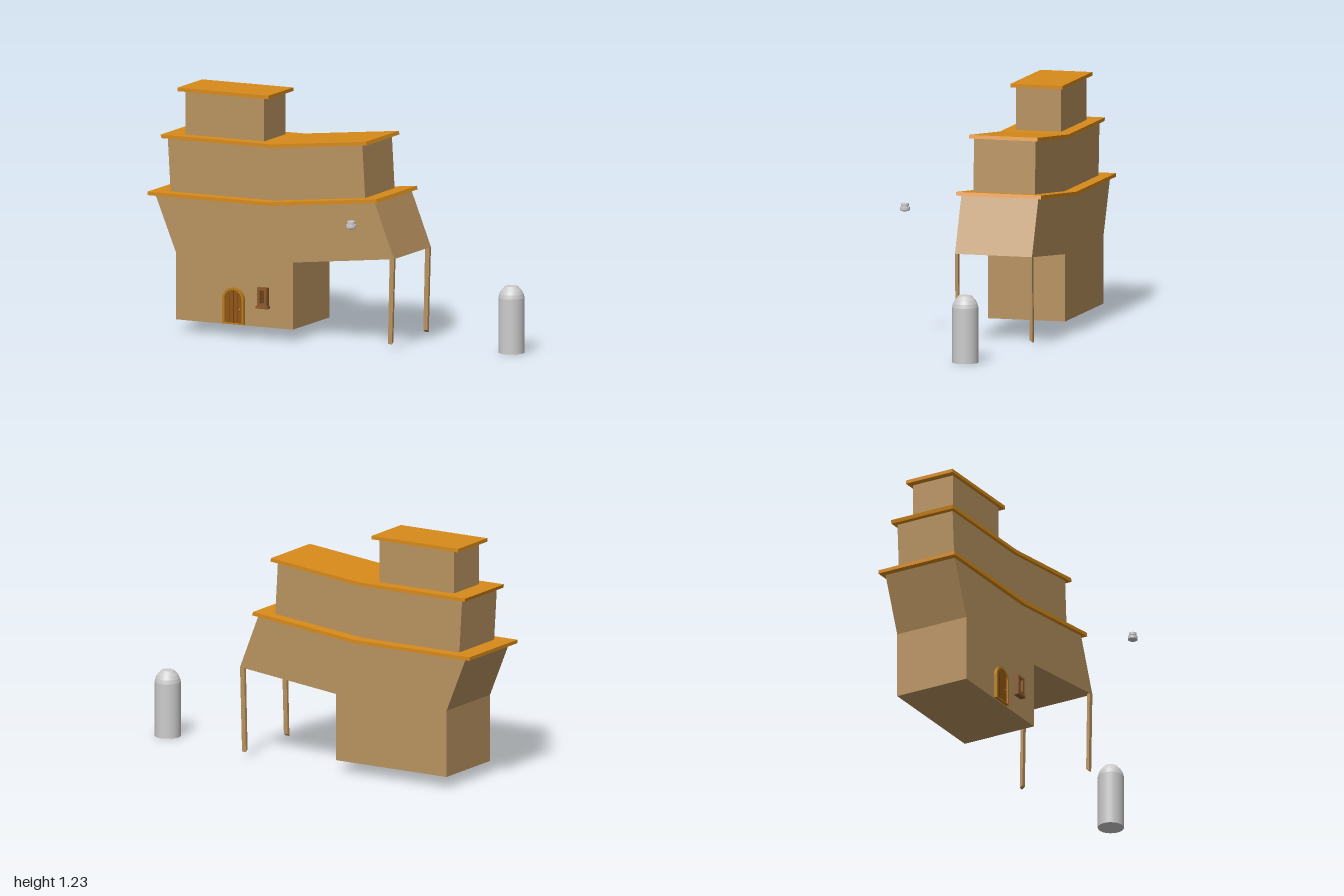
import * as THREE from 'three';

const mat = (color, flat = true) => new THREE.MeshStandardMaterial({ color, flatShading: flat });
const wall = mat(0xb8925f), roof = mat(0xd88a1a), wood = mat(0x8a5a2b), darkWood = mat(0x6b4012), doorWood = mat(0x8f560f);
const trim = mat(0xb87a1c), grey = mat(0xcccccc, false);

function add(group, name, geometry, material) {
  const mesh = new THREE.Mesh(geometry, material);
  mesh.name = name;
  group.add(mesh);
  return mesh;
}

const corners = (points) => points.map(([x, y]) => new THREE.Vector2(x, y));

// Extrudes an x-y shape between two depths
function extrude(shape, z0, z1) {
  return new THREE.ExtrudeGeometry(shape, { depth: z1 - z0, bevelEnabled: false, curveSegments: 16 }).translate(0, 0, z0);
}

const slab = (points, z0, z1) => extrude(new THREE.Shape(corners(points)), z0, z1);

function box(x0, x1, y0, y1, z0, z1) {
  return new THREE.BoxGeometry(x1 - x0, y1 - y0, z1 - z0).translate((x0 + x1) / 2, (y0 + y1) / 2, (z0 + z1) / 2);
}

// Round-topped outline: half width r, from y0 to the crown
function arch(cx, r, y0, top, Type = THREE.Shape) {
  const s = new Type();
  s.moveTo(cx - r, y0);
  s.lineTo(cx + r, y0);
  s.lineTo(cx + r, top - r);
  s.absarc(cx, top - r, r, 0, Math.PI, false);
  s.closePath();
  return s;
}

function createBuilding() {
  const g = new THREE.Group();
  g.name = 'building';

  // Walls of the three storeys
  add(g, 'lowerStorey', slab([[-0.85, 0.06], [-0.19, 0.06], [-0.19, 0.402], [0.382, 0.465], [0.27, 0.75],
    [-0.31, 0.69], [-0.967, 0.69], [-0.85, 0.402]], -0.35, 0.054), wall);
  add(g, 'middleStorey', slab([[-0.9, 0.695], [-0.31, 0.695], [0.198, 0.755], [0.182, 1.03],
    [-0.32, 0.98], [-0.917, 0.98]], -0.309, 0.014), wall);
  add(g, 'upperStorey', box(-0.84, -0.395, 0.98, 1.215, -0.265, -0.031), wall);

  // Overhanging roofs, the lower two bent upward
  add(g, 'lowerRoof', slab([[-1, 0.684], [-0.31, 0.684], [0.297, 0.748], [0.291, 0.766],
    [-0.315, 0.702], [-1, 0.702]], -0.371, 0.075), roof);
  add(g, 'middleRoof', slab([[-0.943, 0.972], [-0.315, 0.972], [0.216, 1.028], [0.211, 1.046],
    [-0.32, 0.99], [-0.948, 0.99]], -0.328, 0.032), roof);
  add(g, 'upperRoof', box(-0.876, -0.361, 1.21, 1.228, -0.284, -0.012), roof);

  // Slim posts with slanted feet
  for (const side of [1, -1]) {
    const post = slab([[0.347, 0.03], [0.37, 0.03], [0.382, 0.465], [0.357, 0.462]], -0.008, 0.008);
    const p = post.attributes.position;
    for (let i = 0; i < p.count; i++) {
      if (p.getY(i) < 0.1 && p.getZ(i) * side < 0) p.setY(i, 0.042);
    }
    post.computeVertexNormals();
    add(g, side > 0 ? 'frontPost' : 'backPost', post, wall).position.z = -0.148 + side * 0.194;
  }
  return g;
}

function createDoor() {
  const g = new THREE.Group();
  g.name = 'door';
  const frame = arch(-0.52, 0.06, 0.064, 0.25);
  frame.holes.push(arch(-0.52, 0.048, 0.07, 0.238, THREE.Path));
  add(g, 'doorFrame', extrude(frame, 0.05, 0.071), trim);
  add(g, 'doorPanel', extrude(arch(-0.52, 0.05, 0.066, 0.24), 0.05, 0.062), doorWood);
  // Gaps between planks
  for (const dx of [-0.024, 0, 0.024]) {
    add(g, 'plankGap', box(-0.521 + dx, -0.519 + dx, 0.07, dx ? 0.22 : 0.235, 0.06, 0.063), darkWood);
  }
  add(g, 'doorKnob', new THREE.SphereGeometry(0.005, 10, 8).translate(-0.484, 0.14, 0.064), trim);
  return g;
}

function createWindow() {
  const g = new THREE.Group();
  g.name = 'window';
  const frame = new THREE.Shape(corners([[-0.38, 0.168], [-0.325, 0.168], [-0.325, 0.264], [-0.38, 0.264]]));
  frame.holes.push(new THREE.Path(corners([[-0.366, 0.182], [-0.366, 0.25], [-0.339, 0.25], [-0.339, 0.182]])));
  add(g, 'windowFrame', extrude(frame, 0.05, 0.079), wood);
  add(g, 'windowPane', box(-0.37, -0.335, 0.18, 0.252, 0.05, 0.066), darkWood);
  add(g, 'windowSill', box(-0.386, -0.319, 0.157, 0.17, 0.05, 0.083), wood);
  return g;
}

// Turned solid; doubled profile points keep the edges crisp
function turned(profile) {
  const points = profile.flatMap((p, i) => (i > 0 && i < profile.length - 1 ? [p, p] : [p]));
  return new THREE.LatheGeometry(corners(points), 32);
}

export function createModel() {
  const model = new THREE.Group();
  model.name = 'towerHouse';
  model.add(createBuilding(), createDoor(), createWindow());

  // Free-standing domed pillar
  add(model, 'pillar', turned([[0, 0], [0.066, 0], [0.066, 0.28], [0.061, 0.3], [0.052, 0.317],
    [0.032, 0.339], [0, 0.341]]), grey).position.set(0.931, 0, -0.167);

  // Small stepped knob floating before the house
  add(model, 'knob', turned([[0, 0.659], [0.02, 0.659], [0.025, 0.663], [0.025, 0.679], [0.016, 0.68], [0.016, 0.682],
    [0.02, 0.684], [0.02, 0.697], [0, 0.7]]), grey).position.set(0.29, 0, 0.345);
  return model;
}
